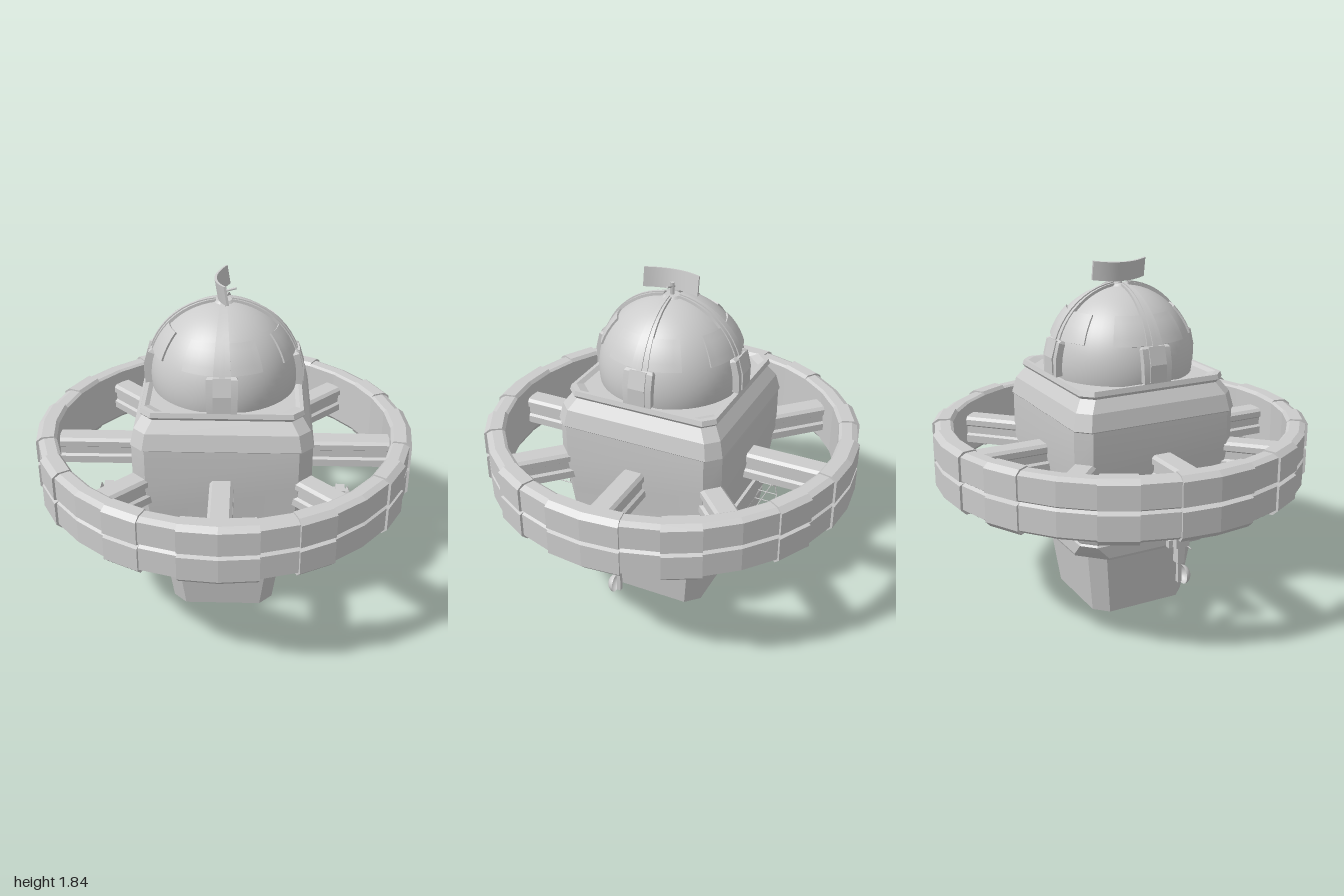
import * as THREE from 'three';
import { toCreasedNormals } from 'three/addons/utils/BufferGeometryUtils.js';

const grey = new THREE.MeshStandardMaterial({ color: 0xcccccc, side: THREE.DoubleSide });
const V = (x, y, z) => new THREE.Vector3(x, y, z);
const rad = THREE.MathUtils.degToRad;

function add(parent, name, geo, x = 0, y = 0, z = 0) {
  const m = new THREE.Mesh(geo, grey);
  m.name = name;
  m.position.set(x, y, z);
  parent.add(m);
  return m;
}

// Skin a row of closed cross-sections and cap both ends
function sweep(rings) {
  const pos = [];
  const tri = (...p) => p.forEach(v => pos.push(v.x, v.y, v.z));
  const n = rings[0].length, last = rings.length - 1;
  for (let i = 0; i < last; i++) for (let j = 0; j < n; j++) {
    const k = (j + 1) % n, a = rings[i][j], b = rings[i][k], c = rings[i + 1][k], d = rings[i + 1][j];
    tri(a, b, c);
    tri(a, c, d);
  }
  const mid = r => r.reduce((s, v) => s.add(v), V(0, 0, 0)).divideScalar(n);
  const m0 = mid(rings[0]), m1 = mid(rings[last]);
  for (let j = 0; j < n; j++) {
    const k = (j + 1) % n;
    tri(m0, rings[0][k], rings[0][j]);
    tri(m1, rings[last][j], rings[last][k]);
  }
  const g = new THREE.BufferGeometry();
  g.setAttribute('position', new THREE.Float32BufferAttribute(pos, 3));
  return toCreasedNormals(g, 0.3);
}

// Square tower with cut corners: rows of [y, half width, half width of the flat face]
const tower = rows => sweep(rows.map(([y, h, f]) => [
  V(-f, y, h), V(f, y, h), V(h, y, f), V(h, y, -f), V(f, y, -h), V(-f, y, -h), V(-h, y, -f), V(-h, y, f)]));

function rod(parent, name, a, b, r = 0.003) {
  const m = add(parent, name, new THREE.CylinderGeometry(r, r, a.distanceTo(b), 6));
  m.position.copy(a).add(b).multiplyScalar(0.5);
  m.quaternion.setFromUnitVectors(V(0, 1, 0), b.clone().sub(a).normalize());
}

const DOME_Y = 1.33, DOME_R = 0.38;

// Band running down the dome: rows of [angle from top, half width, radius]
const domeBand = rows => sweep(rows.map(([t, w, r]) => {
  const p = (x, q) => V(x, DOME_Y + q * Math.cos(rad(t)), q * Math.sin(rad(t)));
  return [p(-w, 0.36), p(w, 0.36), p(w, r), p(-w, r)];
}));

// Raised curved panel on the dome
function domePanel(span, t0, t1, r) {
  const rings = [], steps = 10;
  for (let i = 0; i <= steps; i++) {
    const phi = rad(-span + 2 * span * i / steps);
    const p = (t, q) => V(q * Math.sin(t) * Math.sin(phi), DOME_Y + q * Math.cos(t), q * Math.sin(t) * Math.cos(phi));
    const ts = [0, 1, 2, 3, 4].map(k => rad(t0 + (t1 - t0) * k / 4));
    rings.push([...ts.map(t => p(t, r)), ...ts.reverse().map(t => p(t, 0.37))]);
  }
  return sweep(rings);
}

function buildBody(g) {
  add(g, 'lowerHull', tower([[0, 0.275, 0.205], [0.38, 0.325, 0.25]]));
  add(g, 'lowerFlange', tower([[0.375, 0.405, 0.27], [0.39, 0.412, 0.28], [0.46, 0.412, 0.345], [0.475, 0.4, 0.34]]));
  add(g, 'mainHull', tower([[0.47, 0.405, 0.34], [0.485, 0.415, 0.34], [0.7, 0.43, 0.37], [0.88, 0.455, 0.385], [1.09, 0.455, 0.385]]));
  add(g, 'upperCollar', tower([[1.085, 0.45, 0.385], [1.095, 0.46, 0.395], [1.18, 0.44, 0.38], [1.245, 0.395, 0.34]]));
  add(g, 'topRim', tower([[1.24, 0.4, 0.345], [1.255, 0.41, 0.355], [1.28, 0.403, 0.35], [1.28, 0.385, 0.33], [1.265, 0.365, 0.29]]));
}

function buildDome(g) {
  add(g, 'dome', new THREE.SphereGeometry(DOME_R, 48, 24, 0, Math.PI * 2, 0, rad(101)), 0, DOME_Y, 0);
  add(g, 'domeCap', new THREE.CylinderGeometry(0.04, 0.06, 0.02, 16), 0, 1.708, 0);
  const arc = (a, b, w0, w1, r) => Array.from({ length: 11 }, (_, i) =>
    [a + (b - a) * i / 10, w0 + (w1 - w0) * i / 10, r]);
  for (let k = 0; k < 4; k++) {
    const side = new THREE.Group();
    side.name = 'domeSide';
    side.rotation.y = k * Math.PI / 2;
    add(side, 'domePanel', domePanel(33, 46, 70, 0.39));
    add(side, 'domeRib', domeBand(arc(6, 72, 0.015, 0.045, 0.394)));
    add(side, 'ribRidge', domeBand(arc(6, 72, 0.007, 0.015, 0.4)));
    add(side, 'ribFoot', domeBand([[70, 0.07, 0.392], [72, 0.078, 0.405], [84, 0.078, 0.408], [97, 0.075, 0.408]]));
    add(side, 'ribFootPlate', domeBand([[71, 0.045, 0.41], [84, 0.045, 0.416], [96, 0.045, 0.414]]));
    g.add(side);
  }
}

// Curved scanner on a short mast
function buildScanner(g) {
  rod(g, 'scannerMast', V(0, 1.7, 0), V(0, 1.78, 0), 0.012);
  const rings = [];
  for (let i = 0; i <= 10; i++) {
    const a = i / 5 - 1, x = -0.035 + 0.05 * a * a, t = 0.006, h = 0.05;
    rings.push([V(x + t, -h, 0.15 * a), V(x + t, h, 0.15 * a), V(x - t, h, 0.15 * a), V(x - t, -h, 0.15 * a)]);
  }
  add(g, 'scannerDish', sweep(rings), 0, 1.788, 0).rotation.z = 0.16;
  rod(g, 'scannerFeed', V(-0.03, 1.75, 0), V(0.06, 1.775, 0), 0.006);
}

function buildWheel(g) {
  const raisedPattern = [1, 0, 1, 0, 0, 1, 0, 1];
  for (let k = 0; k < 32; k++) {
    const up = raisedPattern[k % 8], R = up ? 1 : 0.987, e = up ? 0.008 : 0;
    const profile = [[0.89, 0.71], [0.89, 0.99], [0.905, 1 + e], [R - 0.03, 1 + e], [R, 0.985], [R, 0.862],
      [0.97, 0.85], [R, 0.838], [R, 0.712], [R - 0.03, 0.69 - e], [0.905, 0.69 - e]];
    const rings = [k, k + 1].map(i => {
      const a = i * Math.PI / 16;
      return profile.map(([r, y]) => V(r * Math.sin(a), y, r * Math.cos(a)));
    });
    add(g, 'wheelSegment', sweep(rings));
  }
  // Spokes: a bevelled beam with recessed flanks
  const half = [[0.06, 0.78], [0.06, 0.82], [0.045, 0.83], [0.045, 0.87], [0.06, 0.88], [0.06, 0.91], [0.045, 0.925]];
  const section = [...half.map(([x, y]) => [x, y]), ...half.slice().reverse().map(([x, y]) => [-x, y])];
  for (let k = 0; k < 8; k++) {
    const spoke = sweep([0.3, 0.91].map(z => section.map(([x, y]) => V(x, y, z))));
    add(g, 'spoke', spoke).rotation.y = k * Math.PI / 4;
  }
}

// Side arm with hanging dish; s is the side
function buildArm(s) {
  const g = new THREE.Group();
  g.name = s > 0 ? 'leftArm' : 'rightArm';
  add(g, 'armRoot', new THREE.BoxGeometry(0.16, 0.11, 0.08), s * 0.46, 0.54, 0);
  add(g, 'armBeam', new THREE.BoxGeometry(0.16, 0.09, 0.06), s * 0.59, 0.547, 0);
  add(g, 'armTip', new THREE.BoxGeometry(0.05, 0.11, 0.075), s * 0.645, 0.55, 0);
  const cone = add(g, 'tipCone', new THREE.CylinderGeometry(0.032, 0.006, 0.03, 12, 1, true), s * 0.68, 0.578, 0);
  cone.rotation.z = -s * 1.25;
  add(g, 'upperLeg', new THREE.BoxGeometry(0.045, 0.1, 0.04), s * 0.635, 0.455, 0);
  add(g, 'lowerLeg', new THREE.BoxGeometry(0.022, 0.13, 0.02), s * 0.635, 0.36, 0);
  const dish = add(g, 'hangingDish', new THREE.SphereGeometry(0.05, 16, 8, 0, Math.PI * 2, 0, Math.PI / 2), s * 0.635, 0.33, 0.02);
  dish.rotation.x = Math.PI / 2;
  dish.scale.y = 0.8;
  add(g, 'sensorBox', new THREE.BoxGeometry(0.03, 0.04, 0.03), s * 0.62, 0.51, -0.045);
  rod(g, 'whisker', V(s * 0.62, 0.51, -0.05), V(s * 0.62, 0.51, 0.1));
  rod(g, 'sideWhisker', V(s * 0.48, 0.5, 0.03), V(s * 0.7, 0.495, 0.03));
  rod(g, 'topWhisker', V(s * 0.48, 0.55, 0.02), V(s * 0.48, 0.63, 0.02));
  return g;
}

// Wire rack: octagonal loop held off the hull by rods
function buildRack() {
  const g = new THREE.Group();
  g.name = 'wireRack';
  const oct = [[-0.155, 0.51], [0.155, 0.51], [0.195, 0.54], [0.195, 0.595], [0.155, 0.63], [-0.155, 0.63], [-0.195, 0.595], [-0.195, 0.54]];
  const shape = new THREE.Shape(oct.map(([x, y]) => new THREE.Vector2(x, y)));
  const plate = add(g, 'rackPlate', new THREE.ExtrudeGeometry(shape, { depth: 0.02, bevelEnabled: false }), 0, 0, 0.404);
  plate.rotation.x = 0.03;
  plate.position.y = 0.01;
  const depth = y => 0.555 - (y - 0.51) * 0.2;
  oct.forEach(([x, y], i) => {
    const [x2, y2] = oct[(i + 1) % 8];
    rod(g, 'rackLoop', V(x, y, depth(y)), V(x2, y2, depth(y2)));
    rod(g, 'rackStrut', V(x, y, 0.41), V(x, y, depth(y)));
  });
  for (const s of [-1, 1]) {
    rod(g, 'longAntenna', V(s * 0.157, 0.508, 0.41), V(s * 0.157, 0.508, 0.64));
    rod(g, 'shortAntenna', V(s * 0.157, 0.63, 0.42), V(s * 0.157, 0.63, 0.6));
  }
  return g;
}

export function createModel() {
  const model = new THREE.Group();
  model.name = 'spaceStation';
  for (const [name, build] of [['body', buildBody], ['domeAssembly', buildDome], ['scanner', buildScanner], ['wheel', buildWheel]]) {
    const part = new THREE.Group();
    part.name = name;
    build(part);
    model.add(part);
  }
  model.add(buildArm(1), buildArm(-1));
  for (const turn of [0, Math.PI]) {
    const rack = buildRack();
    rack.rotation.y = turn;
    model.add(rack);
  }
  return model;
}
